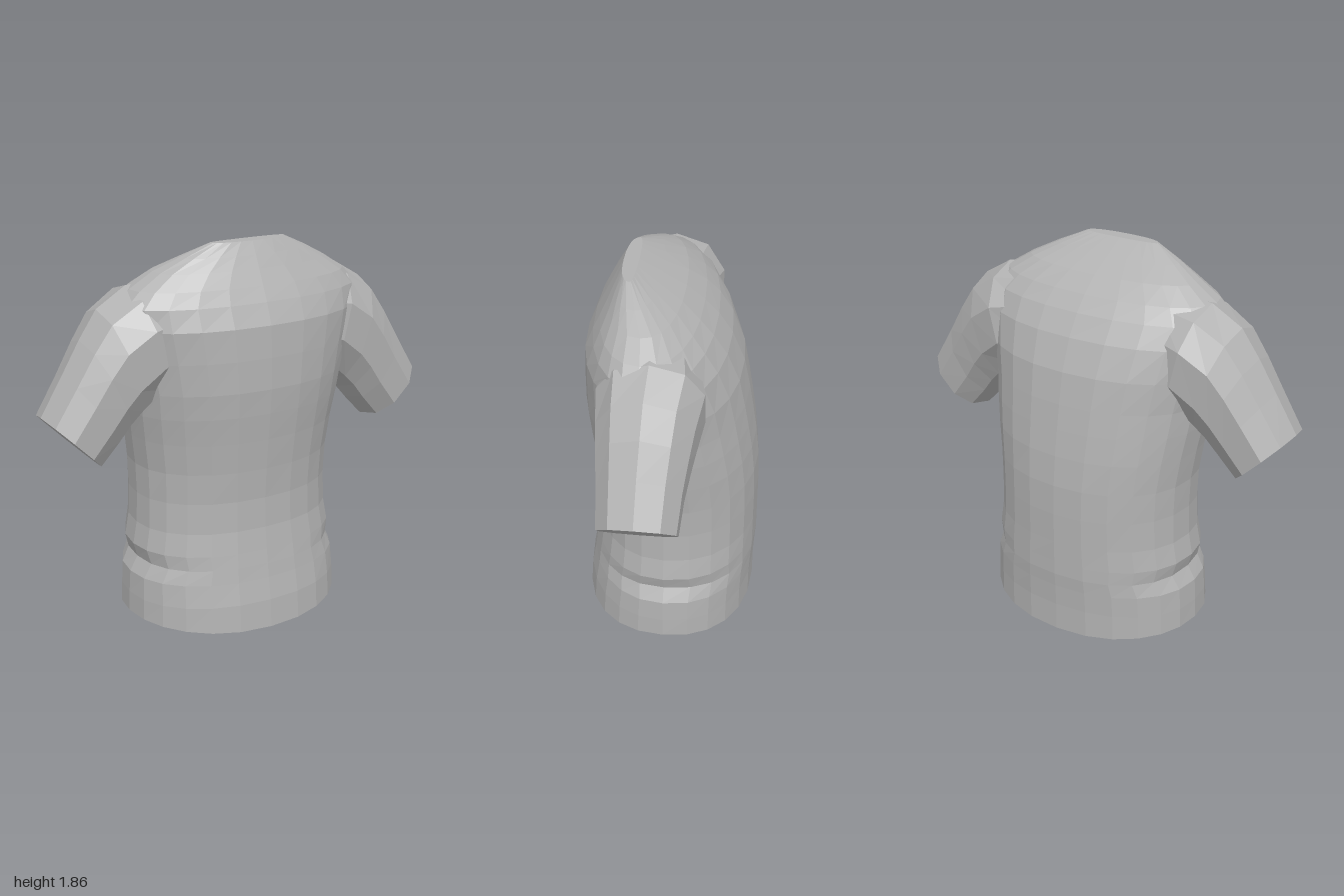
import * as THREE from 'three';

const fabric = new THREE.MeshStandardMaterial({ color: 0xb2b2b2, flatShading: true });
fabric.name = 'grey fabric';

// Skin a list of equal-length rings and close both ends with a fan.
function loft(rings) {
  const n = rings[0].length;
  const points = rings.flat();
  const index = [];
  for (let i = 0; i < rings.length - 1; i++) {
    for (let j = 0; j < n; j++) {
      const a = i * n + j, b = i * n + (j + 1) % n;
      index.push(a, b, b + n, a, b + n, a + n);
    }
  }
  const centre = ring => ring
    .reduce((sum, p) => sum.add(p), new THREE.Vector3()).divideScalar(n);
  const last = (rings.length - 1) * n;
  const start = points.length, end = start + 1;
  points.push(centre(rings[0]), centre(rings[rings.length - 1]));
  for (let j = 0; j < n; j++) {
    const k = (j + 1) % n;
    index.push(start, k, j, end, last + j, last + k);
  }
  const geometry = new THREE.BufferGeometry().setFromPoints(points);
  geometry.setIndex(index);
  const faceted = geometry.toNonIndexed();
  faceted.computeVertexNormals();
  return faceted;
}

const bulge = (v, e) => Math.sign(v) * Math.abs(v) ** (2 / e);

// Torso sections: y, half width, front z, back z, z of the side seam, roundness
const torsoSections = [
  [0.00, 0.555, 0.43, -0.41, 0.00, 2.2],
  [0.14, 0.552, 0.42, -0.41, 0.00, 2.2],
  [0.25, 0.545, 0.40, -0.415, 0.00, 2.2],
  [0.32, 0.505, 0.39, -0.42, 0.00, 2.3],
  [0.39, 0.525, 0.38, -0.42, 0.00, 2.2],
  [0.50, 0.505, 0.365, -0.42, 0.00, 2.2],
  [0.65, 0.500, 0.36, -0.42, 0.00, 2.2],
  [0.80, 0.505, 0.37, -0.415, 0.00, 2.2],
  [0.95, 0.525, 0.385, -0.40, 0.01, 2.2],
  [1.08, 0.545, 0.40, -0.38, 0.03, 2.2],
  [1.20, 0.560, 0.41, -0.36, 0.05, 2.2],
  [1.35, 0.590, 0.408, -0.33, 0.06, 2.2],
  [1.50, 0.625, 0.40, -0.27, 0.07, 2.2],
  [1.60, 0.630, 0.36, -0.205, 0.08, 2.2],
  [1.67, 0.560, 0.325, -0.14, 0.09, 2.3],
  [1.74, 0.450, 0.29, -0.055, 0.10, 2.3],
  [1.80, 0.330, 0.26, 0.05, 0.14, 2.3],
  [1.86, 0.195, 0.23, 0.16, 0.18, 2.3],
];

function torsoRing([y, halfWidth, front, back, side, e]) {
  return Array.from({ length: 24 }, (_, j) => {
    const a = j / 24 * Math.PI * 2;
    const s = bulge(Math.sin(a), e), c = bulge(Math.cos(a), e);
    const depth = c > 0 ? front - side : side - back;
    // The hem lifts towards the sides
    const lift = Math.max(0, 1 - y / 0.14) * 0.04 * s * s;
    return new THREE.Vector3(s * halfWidth, y + lift, side + c * depth);
  });
}

// Sleeve sections, from inside the shoulder to the cuff:
// upper x, upper y, lower x, lower y, back z, front z
const sleeveSections = [
  [0.36, 1.70, 0.34, 1.22, -0.16, 0.27],
  [0.56, 1.68, 0.44, 1.17, -0.20, 0.30],
  [0.71, 1.59, 0.54, 1.08, -0.17, 0.285],
  [0.80, 1.46, 0.595, 1.03, -0.15, 0.275],
  [0.89, 1.31, 0.65, 0.965, -0.13, 0.265],
  [1.00, 1.13, 0.74, 0.87, -0.115, 0.255],
];

function sleeveRing([ux, uy, lx, ly, back, front], side) {
  const ring = Array.from({ length: 10 }, (_, j) => {
    const a = j / 10 * Math.PI * 2;
    const t = bulge(Math.cos(a), 2.2) / 2, w = bulge(Math.sin(a), 2.2) / 2;
    return new THREE.Vector3(
      side * ((ux + lx) / 2 + t * (ux - lx)),
      (uy + ly) / 2 + t * (uy - ly),
      (front + back) / 2 + w * (front - back));
  });
  return side > 0 ? ring : ring.reverse();
}

export function createModel() {
  const shirt = new THREE.Group();
  shirt.name = 'shirt';
  const add = (name, rings) => {
    const mesh = new THREE.Mesh(loft(rings), fabric);
    mesh.name = name;
    shirt.add(mesh);
  };

  // Body with shoulders, closed at hem and neck
  add('torso', torsoSections.map(torsoRing));

  // Short sleeves with closed cuffs
  for (const side of [1, -1]) {
    add(side > 0 ? 'leftSleeve' : 'rightSleeve',
      sleeveSections.map(section => sleeveRing(section, side)));
  }
  return shirt;
}
